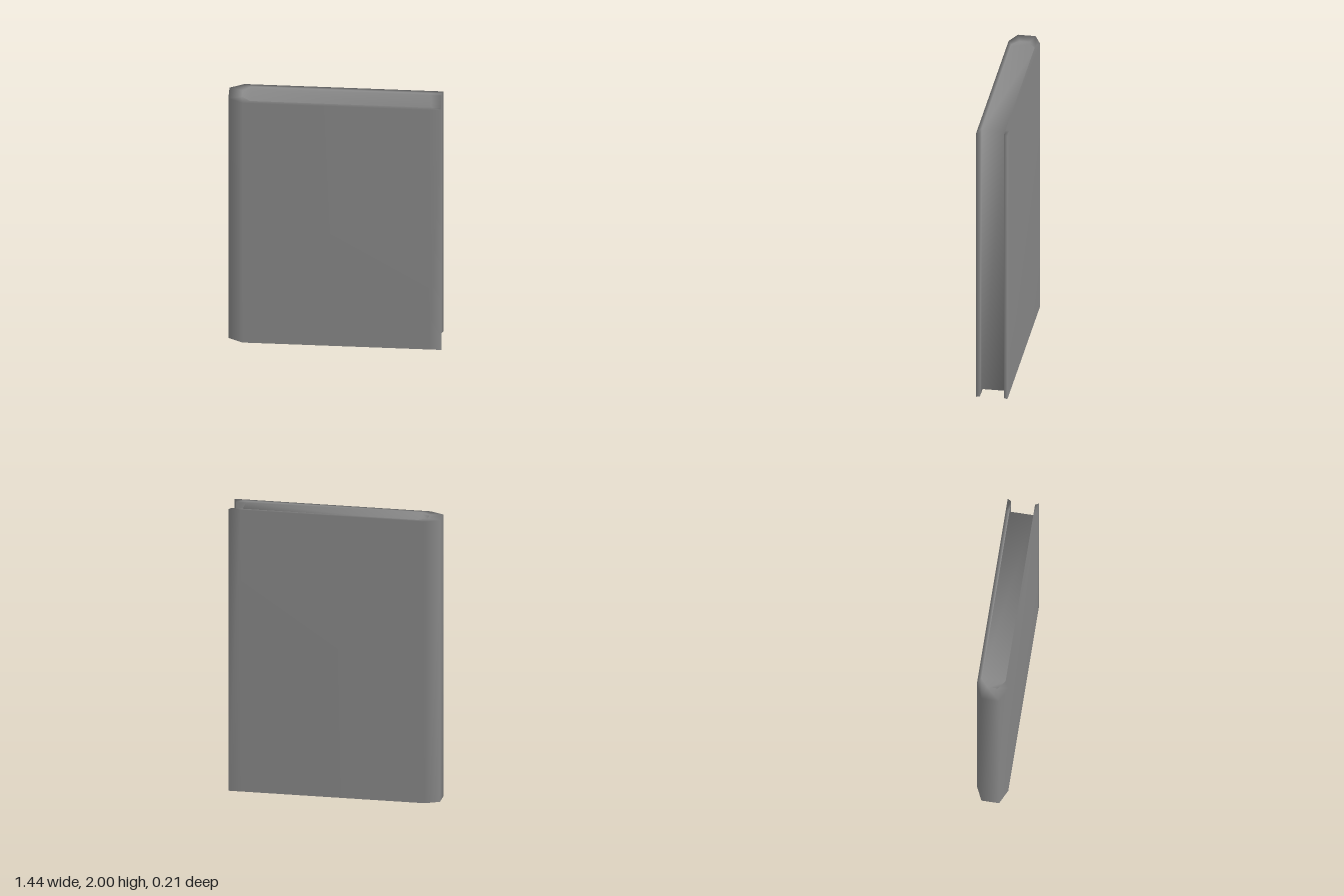
import * as THREE from 'three';
import { mergeVertices } from 'three/addons/utils/BufferGeometryUtils.js';

const material = new THREE.MeshStandardMaterial({ color: 0x888888 });

// Complete half an outline with its mirror image in z
const mirrored = (half) => [...half, ...half.map(([x, z]) => [x, -z]).reverse()];

export function createModel() {
  // Outlines from the front fore edge, round the spine, to the back fore edge
  const outer = mirrored([[0.718, 0.107], [0.635, 0.107], [-0.62, 0.107], [-0.718, 0.06]]);
  const inner = mirrored([[0.705, 0.081], [0.635, 0.081], [-0.57, 0.081], [-0.63, 0.036]]);
  const last = outer.length - 1;

  // Heights: cover bottom, page bottom, page top, cover top
  const levels = [0, 0.018, 1.985, 2];
  const [bottom, pageBottom, pageTop, top] = levels;

  const positions = [];
  const quad = (a, b, c, d) => positions.push(...a, ...b, ...c, ...a, ...c, ...d);
  const at = ([x, z], y) => [x, y, z];
  // Upright panel from p (left) to q (right), as seen from its outside
  const wall = (p, q, y0, y1) => quad(at(p, y0), at(q, y0), at(q, y1), at(p, y1));
  // Level panel facing up (corners counterclockwise from above) and its twin facing down
  const level = (corners, yLow, yHigh) => {
    quad(...corners.map((p) => at(p, yHigh)));
    quad(...corners.map((p) => at(p, yLow)).reverse());
  };

  for (let j = 0; j < last; j++) {
    // Outside of the boards and spine, and the cover's rims
    wall(outer[j + 1], outer[j], bottom, top);
    level([outer[j], inner[j], inner[j + 1], outer[j + 1]], bottom, top);

    // Inside of the cover: shallow steps down to the pages, full height at the lips
    const isLip = j === 0 || j === last - 1;
    const isForeEdge = j === (last - 1) / 2 && inner[j][0] > 0;
    for (let b = 0; b < 3 && !isForeEdge; b++) {
      if (b !== 1 || isLip) wall(inner[j], inner[j + 1], levels[b], levels[b + 1]);
    }
  }

  // Fore edges of the two boards
  wall(outer[0], inner[0], bottom, top);
  wall(inner[last], outer[last], bottom, top);

  // Page block: fore edge, then top and bottom
  wall(inner[1], inner[last - 1], pageBottom, pageTop);
  for (let k = 1; k < 3; k++) {
    level([inner[k], inner[last - k], inner[last - k - 1], inner[k + 1]], pageBottom, pageTop);
  }

  // Shared corners give soft shading all over
  let geometry = new THREE.BufferGeometry();
  geometry.setAttribute('position', new THREE.Float32BufferAttribute(positions, 3));
  geometry = mergeVertices(geometry, 1e-4);
  geometry.computeVertexNormals();

  const mesh = new THREE.Mesh(geometry, material);
  mesh.name = 'coverAndPages';
  const book = new THREE.Group();
  book.name = 'book';
  book.add(mesh);
  return book;
}
